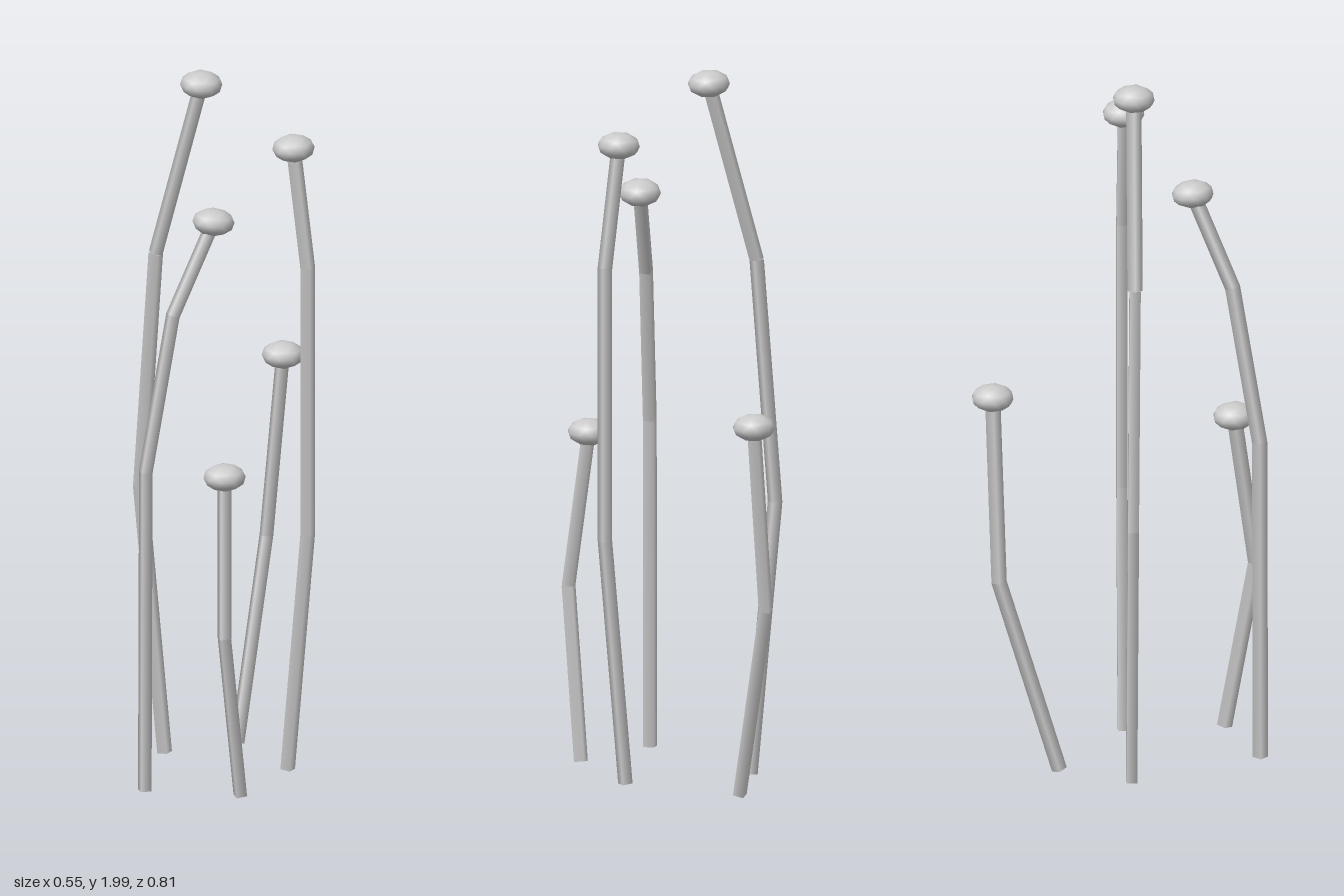
import * as THREE from 'three';

const R = 0.021;
const material = new THREE.MeshStandardMaterial({ color: 0xcccccc });
const UP = new THREE.Vector3(0, 1, 0);

// Each stalk: path from foot to head centre, and the turn of its square section per segment
const STALKS = [
  { path: [[-0.185, 0.02, 0.02], [-0.26, 0.775, 0.02], [-0.208, 1.455, 0.028], [-0.065, 1.962, 0.033]], turns: [1, 1, 0] },
  { path: [[0.195, 0.03, 0.02], [0.257, 0.715, 0.02], [0.257, 1.48, 0.02], [0.214, 1.818, 0.022]], turns: [1, 1, 1] },
  { path: [[-0.056, 0.035, 0.38], [-0.054, 0.95, 0.378], [-0.008, 1.385, 0.307], [0.062, 1.635, 0.202]], turns: [0, 0, 0] },
  { path: [[-0.06, 0.012, -0.17], [-0.058, 0.56, -0.335], [-0.015, 1.082, -0.35]], turns: [0, 0] },
  { path: [[0.195, 0.035, 0.297], [0.191, 0.51, 0.382], [0.159, 0.95, 0.321]], turns: [0, 0] },
];

// Four-sided rod between two points, its ends slid along the rod onto the mitre planes
function rod(a, b, planeA, planeB, turn) {
  const dir = b.clone().sub(a).normalize();
  const geo = new THREE.CylinderGeometry(R, R, 1, 4);
  geo.rotateY(turn * Math.PI / 4);
  const ends = Array.from(geo.attributes.position.array).filter((_, i) => i % 3 === 1);
  geo.applyQuaternion(new THREE.Quaternion().setFromUnitVectors(UP, dir));
  const pos = geo.attributes.position, v = new THREE.Vector3();
  ends.forEach((e, i) => {
    const [point, plane] = e > 0 ? [b, planeB] : [a, planeA];
    v.fromBufferAttribute(pos, i).addScaledVector(dir, -e);
    v.addScaledVector(dir, -v.dot(plane) / dir.dot(plane)).add(point);
    pos.setXYZ(i, v.x, v.y, v.z);
  });
  return new THREE.Mesh(geo, material);
}

// Flattened faceted ball with one vertex pointing up
function makeHead(axis) {
  const geo = new THREE.IcosahedronGeometry(0.0585, 1);
  geo.rotateX(-Math.atan2((1 + Math.sqrt(5)) / 2, 1));
  geo.scale(1, 0.64, 1);
  const head = new THREE.Mesh(geo, material);
  // a slight lean along the stalk
  head.quaternion.slerp(new THREE.Quaternion().setFromUnitVectors(UP, axis), 0.2);
  head.name = 'head';
  return head;
}

export function createModel() {
  const model = new THREE.Group();
  model.name = 'stalkCluster';

  STALKS.forEach(({ path, turns }, n) => {
    const stalk = new THREE.Group();
    stalk.name = `stalk${n + 1}`;
    const pts = path.map((p) => new THREE.Vector3(...p));
    const dirs = turns.map((_, i) => pts[i + 1].clone().sub(pts[i]).normalize());
    const last = dirs.length - 1;

    // mitre plane normal at every path point
    const planes = pts.map((_, i) =>
      dirs[Math.max(i - 1, 0)].clone().add(dirs[Math.min(i, last)]).normalize());

    turns.forEach((turn, i) => {
      const stem = rod(pts[i], pts[i + 1], planes[i], planes[i + 1], turn);
      stem.name = `stem${i + 1}`;
      stalk.add(stem);
    });

    const head = makeHead(dirs[last]);
    head.position.copy(pts[last + 1]);
    stalk.add(head);
    model.add(stalk);
  });

  return model;
}
